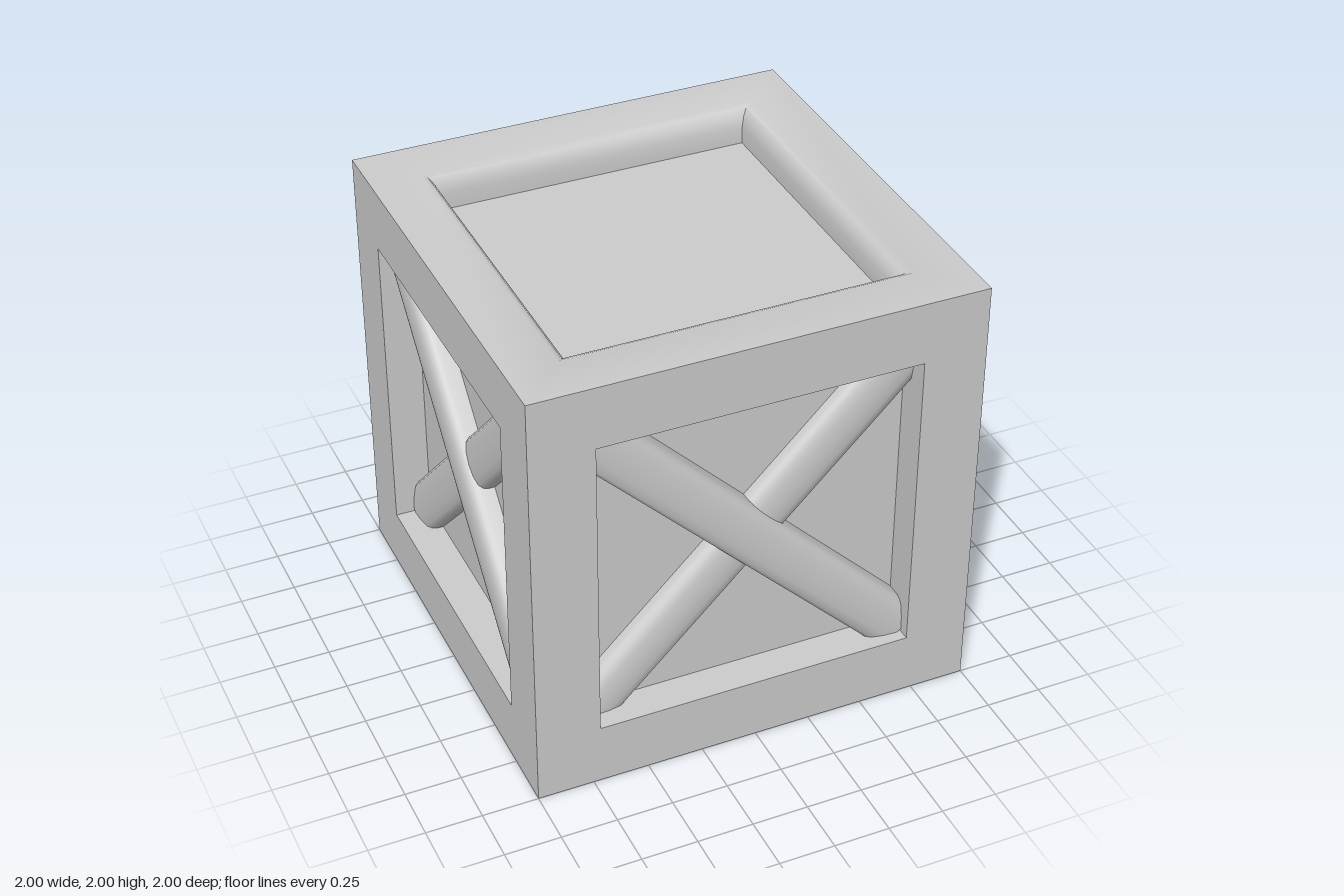
import * as THREE from 'three';
import { toCreasedNormals } from 'three/addons/utils/BufferGeometryUtils.js';

const OPEN = 0.715;   // half width of each opening
const PANEL = 0.835;  // distance of the recessed panels from the centre
const material = new THREE.MeshStandardMaterial({ color: 0xcccccc });

// One crate face pointing +y: a four-sided lathe from rim to panel centre
function faceGeometry(lip) {
  const profile = [[1, 1], ...lip, [OPEN, PANEL], [0, PANEL]];
  const points = profile.map(([r, y]) => new THREE.Vector2(r * Math.SQRT2, y));
  return toCreasedNormals(new THREE.LatheGeometry(points, 4, Math.PI / 4), 0.7);
}

// Diagonal brace with a softly crowned front, ending inside the frame corners
function braceGeometry(front, angle) {
  const half = [[0.118, PANEL - 0.03], [0.118, front - 0.055], [0.112, front - 0.032],
    [0.095, front - 0.014], [0.055, front - 0.004]];
  const outline = [...half, [0, front], ...half.map(([x, y]) => [-x, y]).reverse()];
  const shape = new THREE.Shape(outline.map(([x, y]) => new THREE.Vector2(x, y)));
  const geometry = new THREE.ExtrudeGeometry(shape, { depth: 2, bevelEnabled: false });
  geometry.translate(0, 0, -1).rotateX(Math.PI / 2).rotateZ(angle);
  return toCreasedNormals(geometry, 0.7);
}

function addMesh(parent, name, geometry) {
  const mesh = new THREE.Mesh(geometry, material);
  mesh.name = name;
  parent.add(mesh);
  return mesh;
}

export function createModel() {
  const crate = new THREE.Group();
  crate.name = 'crate';
  const body = new THREE.Group();
  body.name = 'crateBody';
  body.position.y = 1;
  crate.add(body);

  const plainFace = faceGeometry([[OPEN, 1]]);
  const roundedFace = faceGeometry([[0.772, 1], [0.748, 0.988], [0.727, 0.96], [OPEN, 0.915]]);
  const overBrace = braceGeometry(0.95, Math.PI / 4);
  const underBrace = braceGeometry(0.915, -Math.PI / 4);

  // Top with a rounded lip, bottom with a plain recess
  addMesh(body, 'topFace', roundedFace);
  addMesh(body, 'bottomFace', plainFace).rotation.x = Math.PI;

  // Four sides, each with crossed braces
  ['front', 'left', 'back', 'right'].forEach((name, i) => {
    const side = new THREE.Group();
    side.name = name + 'Side';
    side.rotation.y = i * Math.PI / 2;
    addMesh(side, name + 'Face', plainFace).rotation.x = Math.PI / 2;
    addMesh(side, name + 'OverBrace', overBrace);
    addMesh(side, name + 'UnderBrace', underBrace);
    body.add(side);
  });
  return crate;
}
